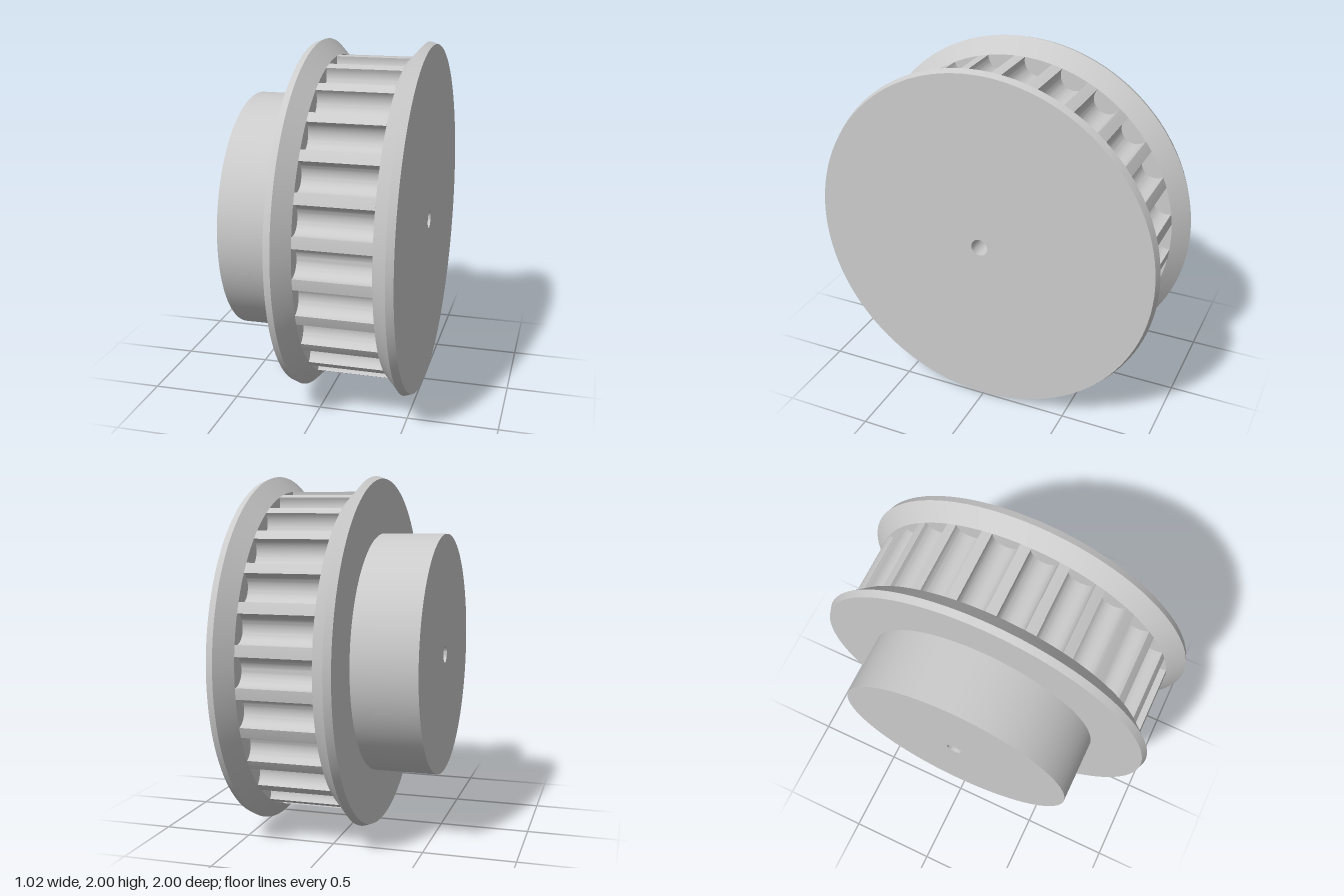
import * as THREE from 'three';
import { toCreasedNormals } from 'three/addons/utils/BufferGeometryUtils.js';

const TEETH = 26;
const BORE = 0.048;
const RIM = 0.914;               // tooth tip radius
const X0 = -0.025, X1 = 0.388;   // toothed width
const CREASE = 0.6;

const material = new THREE.MeshStandardMaterial({ color: 0xcccccc });

function part(name, geometry) {
  const mesh = new THREE.Mesh(toCreasedNormals(geometry, CREASE), material);
  mesh.name = name;
  return mesh;
}

// Revolve [radius, x] points around the x axis
function turned(name, points) {
  const profile = points.map(([r, x]) => new THREE.Vector2(r, x));
  return part(name, new THREE.LatheGeometry(profile, 120).rotateZ(-Math.PI / 2));
}

// Rim with round-bottomed grooves, one centred on the front
function toothedRim() {
  const pitch = (2 * Math.PI) / TEETH;
  const half = THREE.MathUtils.degToRad(5);
  const grooveR = RIM * Math.sin(half);
  const centre = RIM - 0.012;
  const shape = new THREE.Shape();
  shape.moveTo(RIM * Math.cos(-half), RIM * Math.sin(-half));
  for (let i = 0; i < TEETH; i++) {
    const a = i * pitch;
    shape.absarc(centre * Math.cos(a), centre * Math.sin(a), grooveR, a - Math.PI / 2, a + Math.PI / 2, true);
    shape.absarc(0, 0, RIM, a + half, a + pitch - half, false);
  }
  const bore = new THREE.Path();
  bore.absarc(0, 0, BORE, 0, 2 * Math.PI, true);
  shape.holes.push(bore);
  const geometry = new THREE.ExtrudeGeometry(shape, { depth: X1 - X0, bevelEnabled: false, curveSegments: 14 });
  geometry.rotateY(Math.PI / 2).translate(X0, 0, 0);
  return part('toothedRim', geometry);
}

export function createModel() {
  const group = new THREE.Group();
  group.name = 'timingPulley';

  group.add(toothedRim());

  // Hub with its bore
  group.add(turned('hub', [[BORE, X0], [BORE, -0.51], [0.68, -0.51], [0.68, -0.148]]));

  // Flanges with a bevelled lip and a conical inner side
  group.add(turned('hubSideFlange', [
    [0.68, -0.148], [0.986, -0.148], [1, -0.108], [RIM, X0], [0.78, X0],
  ]));
  group.add(turned('outerFlange', [
    [0.78, X1], [RIM, X1], [1, 0.47], [0.986, 0.51], [BORE, 0.51], [BORE, X1],
  ]));

  // Stand the wheel on the ground
  group.children.forEach((mesh) => { mesh.position.y = 1; });
  return group;
}
